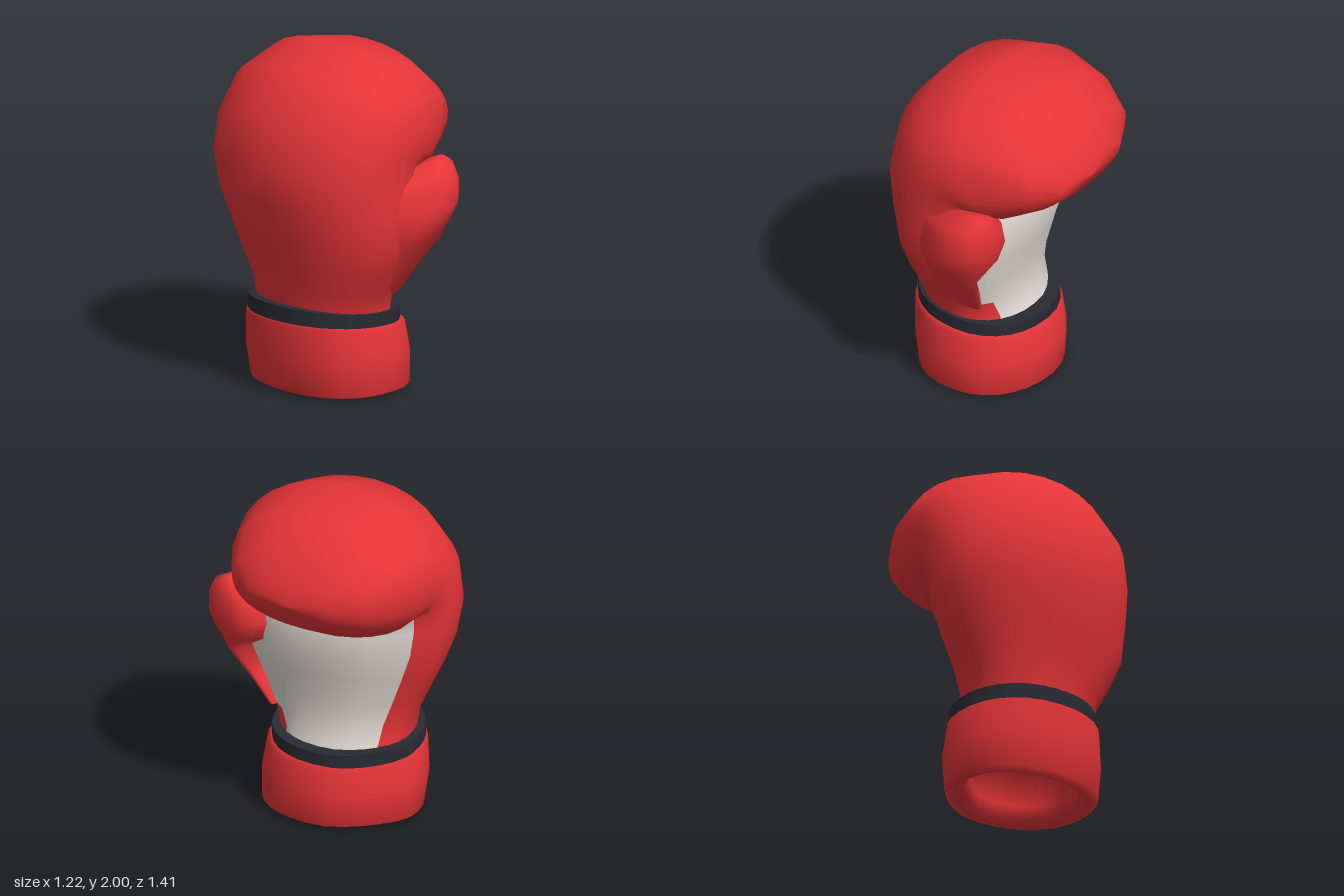
import * as THREE from 'three';

const COLS = 30; // 12 degrees per column, column 0 faces the palm (+x)

const spow = (v, e) => Math.sign(v) * Math.pow(Math.abs(v), e);

// Loft through rings. Each ring:
// [backX, backY, palmX, palmY, zMin, zMax, back exponent, palm exponent, rear palm corner cut, front skew, back skew]
function loft(rings, isPalm) {
  const pos = [], main = [], palm = [];
  for (const [ox, oy, ix, iy, z0, z1, nBack = 2, nPalm = nBack, cut = 0, skew = 0, backSkew = 0] of rings) {
    for (let k = 0; k < COLS; k++) {
      const t = (k / COLS) * Math.PI * 2;
      const e = 2 / (Math.cos(t) > 0 ? nPalm : nBack);
      const u = spow(Math.cos(t), e), v = spow(Math.sin(t), e);
      const cutX = u > 0 && v < 0 ? cut * u * v * v : 0;
      const shift = u > 0 ? skew * u * Math.max(v, 0) : backSkew * u;
      pos.push(
        (ox + ix) / 2 + ((ix - ox) / 2) * u - cutX,
        (oy + iy) / 2 + ((iy - oy) / 2) * u,
        (z0 + z1) / 2 + ((z1 - z0) / 2) * v + shift
      );
    }
  }
  for (let r = 0; r < rings.length - 1; r++) {
    for (let k = 0; k < COLS; k++) {
      const a = r * COLS + k, b = r * COLS + ((k + 1) % COLS);
      const signed = k < COLS / 2 ? k : k - COLS;
      const list = isPalm && isPalm(r, signed) ? palm : main;
      list.push(a, a + COLS, b, b, a + COLS, b + COLS);
    }
  }
  const g = new THREE.BufferGeometry();
  g.setAttribute('position', new THREE.Float32BufferAttribute(pos, 3));
  g.setIndex([...main, ...palm]);
  g.computeVertexNormals();
  if (isPalm) {
    g.addGroup(0, main.length, 0);
    g.addGroup(main.length, palm.length, 1);
  }
  return g;
}

function material(name, color) {
  const m = new THREE.MeshStandardMaterial({ color });
  m.name = name;
  return m;
}

export function createModel() {
  const red = material('red leather', 0xe63437);
  const white = material('pale palm', 0xe3dbd5);
  const dark = material('dark trim', 0x292b33);

  const group = new THREE.Group();
  group.name = 'boxingGlove';
  const add = (name, geometry, mat) => {
    const mesh = new THREE.Mesh(geometry, mat);
    mesh.name = name;
    group.add(mesh);
  };

  // Hand: rises from the wrist, then the sections fan round the palm crease into the curled fist
  const hand = [
    [-0.42, 0.44, 0.24, 0.38, -0.42, 0.36, 2.2, 2.2, 0.08],
    [-0.43, 0.53, 0.21, 0.48, -0.44, 0.37, 2.2, 2.2, 0.10],
    [-0.45, 0.64, 0.19, 0.58, -0.45, 0.41, 2.2, 2.4, 0.13],
    [-0.48, 0.76, 0.20, 0.72, -0.51, 0.48, 2.2, 2.5, 0.17],
    [-0.53, 0.94, 0.24, 0.90, -0.60, 0.56, 2.1, 2.5, 0.21],
    [-0.58, 1.14, 0.28, 1.06, -0.67, 0.57, 2.1, 2.5, 0.25],
    [-0.61, 1.36, 0.28, 1.20, -0.70, 0.57, 2.1, 2.4, 0.25],
    [-0.55, 1.65, 0.26, 1.26, -0.705, 0.58, 2, 2.4, 0.22],
    [-0.35, 1.90, 0.26, 1.24, -0.70, 0.58, 2, 2.7, 0.17],
    [-0.03, 2.00, 0.30, 1.22, -0.69, 0.55, 2, 2.8, 0.12],
    [0.30, 1.93, 0.37, 1.25, -0.63, 0.47, 2.1, 2.6, 0.04],
    [0.50, 1.77, 0.46, 1.30, -0.55, 0.38, 2.1, 2.4],
    [0.60, 1.60, 0.555, 1.38, -0.36, 0.22, 2, 2.2],
    [0.612, 1.49, 0.612, 1.49, -0.05, -0.05]
  ];
  // Pale panel: narrower at the wrist, widest below the thumb, reaching up into the crease
  const palmArea = (r, k) => {
    if (r < 2) return k >= -4 && k < 3;
    if (r === 4 || r === 5) return k >= -4 && k < 6;
    return r < 7 && k >= -4 && k < 5;
  };
  add('handAndPalm', loft(hand, palmArea), [red, white]);

  // Thumb: [back y, front y, x min, x max, centre z, half z, skew, back skew], its back edge sunk into the hand
  const thumb = [
    [0.58, 0.58, -0.28, 0.12, 0.34, 0.04, 0, 0.12],
    [0.75, 0.75, -0.30, 0.17, 0.435, 0.06, 0.01, 0.15],
    [0.90, 0.92, -0.32, 0.23, 0.545, 0.055, 0.02, 0.20],
    [0.99, 1.04, -0.34, 0.30, 0.47, 0.195, 0.07, 0.22],
    [1.07, 1.15, -0.34, 0.335, 0.465, 0.215, 0.12, 0.22],
    [1.16, 1.28, -0.30, 0.335, 0.485, 0.185, 0.11, 0.20],
    [1.23, 1.36, -0.20, 0.295, 0.53, 0.125, 0.05, 0.14],
    [1.33, 1.385, 0.02, 0.25, 0.55, 0.04, 0, 0.03],
    [1.375, 1.375, 0.17, 0.17, 0.55, 0, 0, 0]
  ].map(([y0, y1, x0, x1, z, rz, skew, back]) => [x0, y0, x1, y1, z - rz, z + rz, 2.1, 2.1, 0, skew, back]);
  add('thumb', loft(thumb), red);

  // Cuff: rolled hollow sleeve with a slanted top, from the inside floor out and over
  const cuff = [
    [-0.06, 0.34, -0.06, 0.34, -0.03, -0.03],
    [-0.32, 0.34, 0.21, 0.32, -0.36, 0.30],
    [-0.32, 0.10, 0.21, 0.10, -0.36, 0.30],
    [-0.35, 0.03, 0.24, 0.03, -0.39, 0.33],
    [-0.40, 0.005, 0.28, 0.0, -0.44, 0.38],
    [-0.45, 0.03, 0.345, 0.02, -0.50, 0.435],
    [-0.48, 0.22, 0.348, 0.20, -0.52, 0.44],
    [-0.49, 0.43, 0.325, 0.36, -0.50, 0.415],
    [-0.47, 0.45, 0.29, 0.38, -0.475, 0.385],
    [-0.38, 0.45, 0.20, 0.39, -0.38, 0.31]
  ].map((r) => [...r, 2.2, 2.2, 0.18]);
  add('cuff', loft(cuff), red);

  // Trim band: separate faces keep its edges sharp
  const bandOuter = [-0.48, 0.30, -0.485, 0.39], bandInner = [-0.40, 0.19, -0.40, 0.33];
  const bandRing = ([x0, x1, z0, z1], [yBack, yPalm]) => [x0, yBack, x1, yPalm, z0, z1, 2.2, 2.2, 0.13];
  const low = [0.44, 0.37], high = [0.53, 0.45];
  add('trimBandSide', loft([bandRing(bandOuter, low), bandRing(bandOuter, high)]), dark);
  add('trimBandTop', loft([bandRing(bandOuter, high), bandRing(bandInner, high)]), dark);
  add('trimBandUnderside', loft([bandRing(bandInner, low), bandRing(bandOuter, low)]), dark);

  return group;
}
